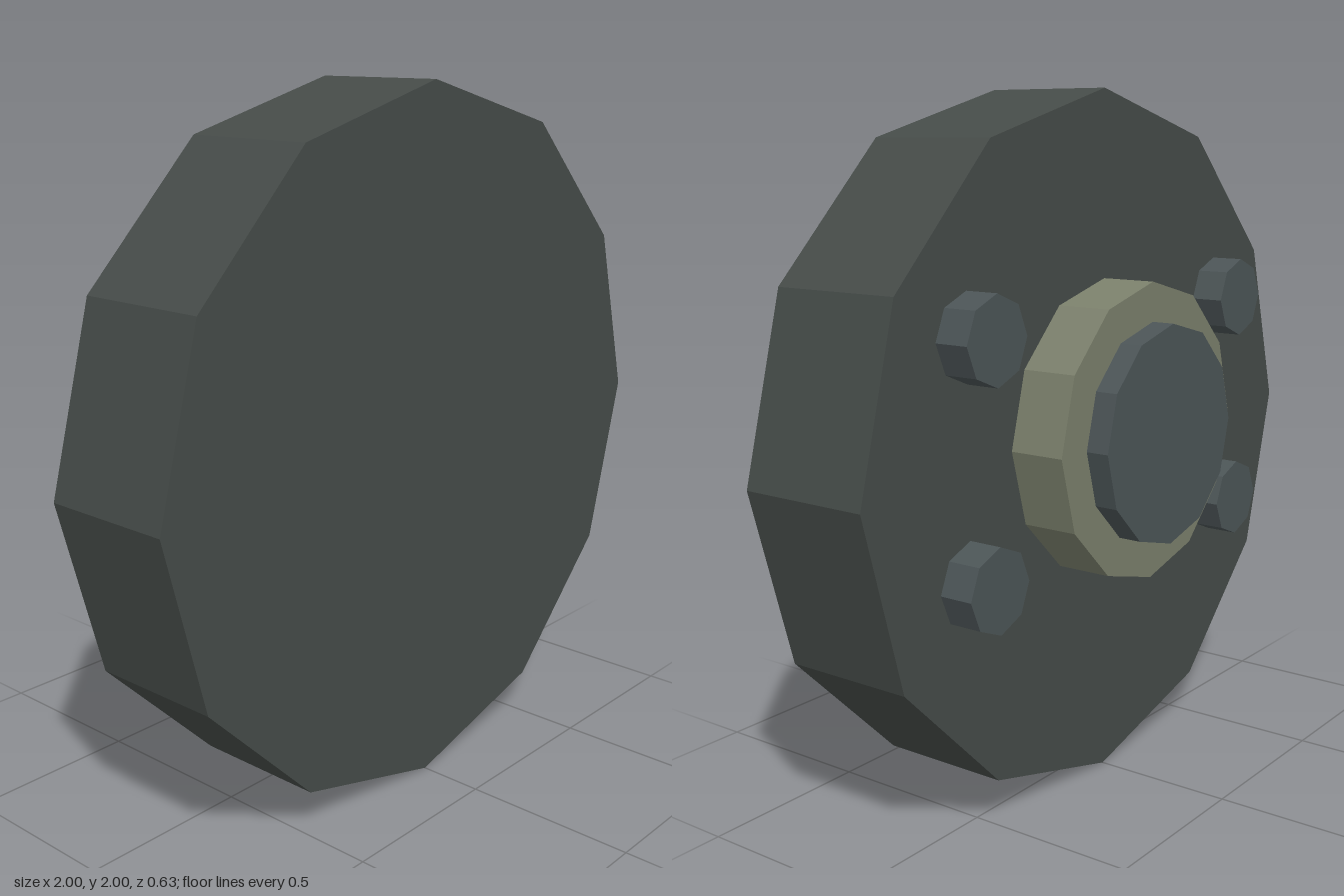
import * as THREE from 'three';

const material = (color) => new THREE.MeshStandardMaterial({ color, flatShading: true });

// Faceted disc lying along z between zBack and zFront
function disc(name, radius, sides, zBack, zFront, x, y, mat) {
  const geometry = new THREE.CylinderGeometry(radius, radius, zFront - zBack, sides);
  geometry.rotateX(Math.PI / 2);
  const mesh = new THREE.Mesh(geometry, mat);
  mesh.name = name;
  mesh.position.set(x, y, (zBack + zFront) / 2);
  return mesh;
}

export function createModel() {
  const group = new THREE.Group();
  group.name = 'boltedDisc';
  const plateMat = material(0x454b48);
  const hubMat = material(0x7a7f6b);
  const steelMat = material(0x4b5456);

  // Main twelve-sided plate
  group.add(disc('plate', 1, 12, -0.08, 0.313, 0, 1, plateMat));

  // Stepped hub on the back
  group.add(disc('hub', 0.427, 12, -0.245, -0.08, 0, 1.048, hubMat));
  group.add(disc('hubCap', 0.315, 12, -0.313, -0.245, 0, 1.048, steelMat));

  // Four bolts around the hub
  const bolts = new THREE.Group();
  bolts.name = 'bolts';
  for (const x of [-0.603, 0.603]) {
    for (const y of [0.724, 1.373]) {
      bolts.add(disc('bolt', 0.119, 8, -0.18, -0.08, x, y, steelMat));
    }
  }
  group.add(bolts);
  return group;
}
